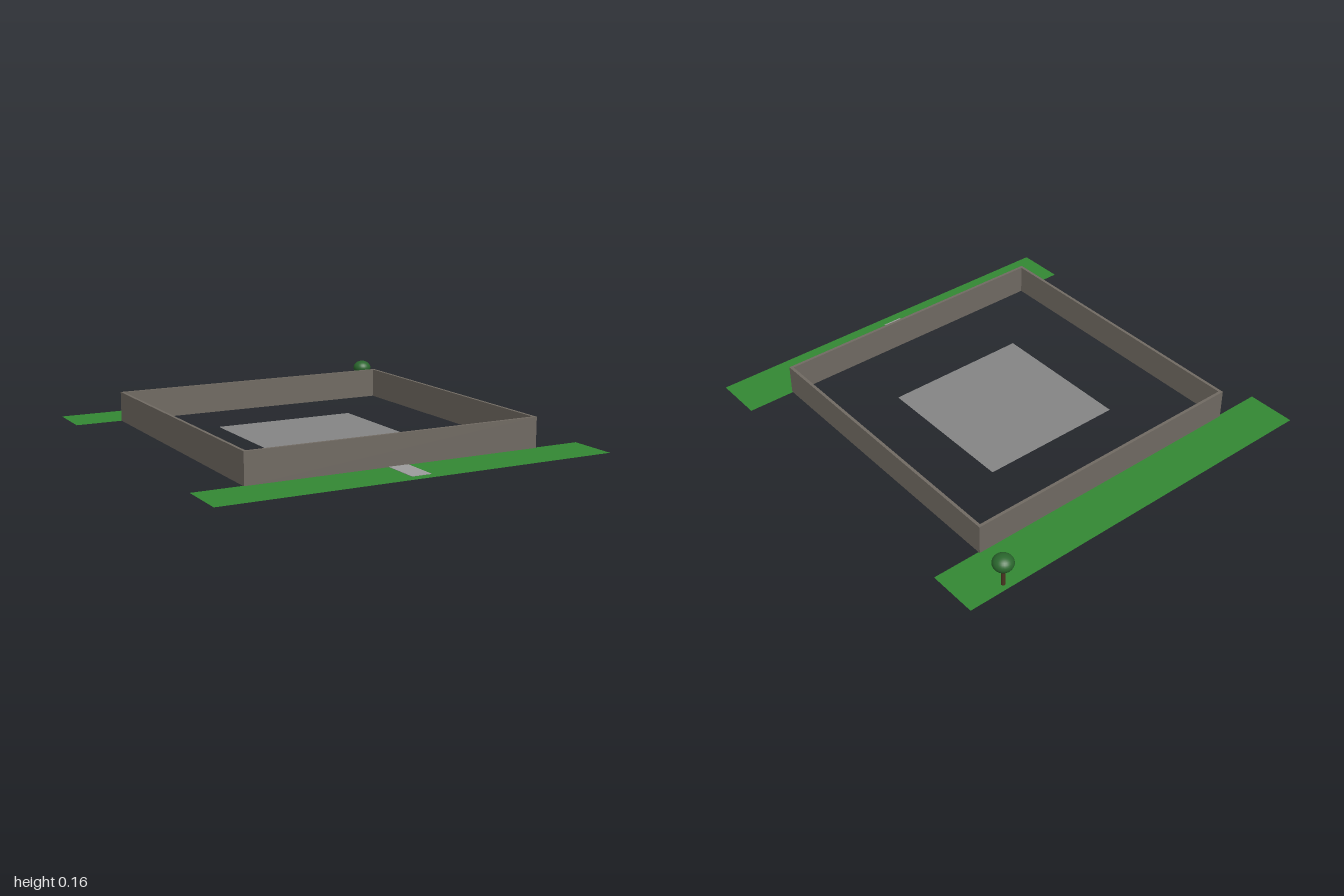
import * as THREE from 'three';

const mat = (color, extra = {}) => new THREE.MeshStandardMaterial({ color, ...extra });

function add(parent, name, geometry, material, x, y, z) {
  const mesh = new THREE.Mesh(geometry, material);
  mesh.name = name;
  mesh.position.set(x, y, z);
  parent.add(mesh);
  return mesh;
}

// Thin horizontal sheet
const sheet = (w, d) => new THREE.PlaneGeometry(w, d).rotateX(-Math.PI / 2);

export function createModel() {
  const model = new THREE.Group();
  model.name = 'walledYard';
  const cz = 0.0075, half = 0.744, thick = 0.015, height = 0.15;

  // Lawns in front of and behind the wall
  const grass = mat(0x338833, { side: THREE.DoubleSide });
  for (const [name, s] of [['frontLawn', 1], ['backLawn', -1]])
    add(model, name, sheet(1.985, 0.248), grass, 0, 0.001, cz + s * 0.868);

  // Paved floor in the middle of the yard
  add(model, 'courtyardFloor', sheet(0.744, 0.744), mat(0x858585, { side: THREE.DoubleSide }), 0, 0.001, cz);

  // Four enclosing walls
  const stone = mat(0x706a62);
  const walls = new THREE.Group();
  walls.name = 'walls';
  model.add(walls);
  for (const s of [1, -1]) {
    add(walls, s > 0 ? 'frontWall' : 'backWall',
      new THREE.BoxGeometry(2 * half + thick, height, thick), stone, 0, height / 2, cz + s * half);
    add(walls, s > 0 ? 'leftWall' : 'rightWall',
      new THREE.BoxGeometry(thick, height, 2 * half - thick), stone, s * half, height / 2, cz);
  }

  // Entry path
  add(model, 'path', new THREE.BoxGeometry(0.1, 0.003, 0.198), mat(0x9c9c9c), 0, 0.0015, 0.851);

  // Tree in the back corner
  const tree = new THREE.Group();
  tree.name = 'tree';
  tree.position.set(0.792, 0, -0.951);
  model.add(tree);
  add(tree, 'trunk', new THREE.CylinderGeometry(0.01, 0.01, 0.1, 12), mat(0x4a3320), 0, 0.05, 0);
  add(tree, 'foliage', new THREE.SphereGeometry(0.049, 24, 16), mat(0x2a662d), 0, 0.125, 0).scale.y = 0.8;

  return model;
}
